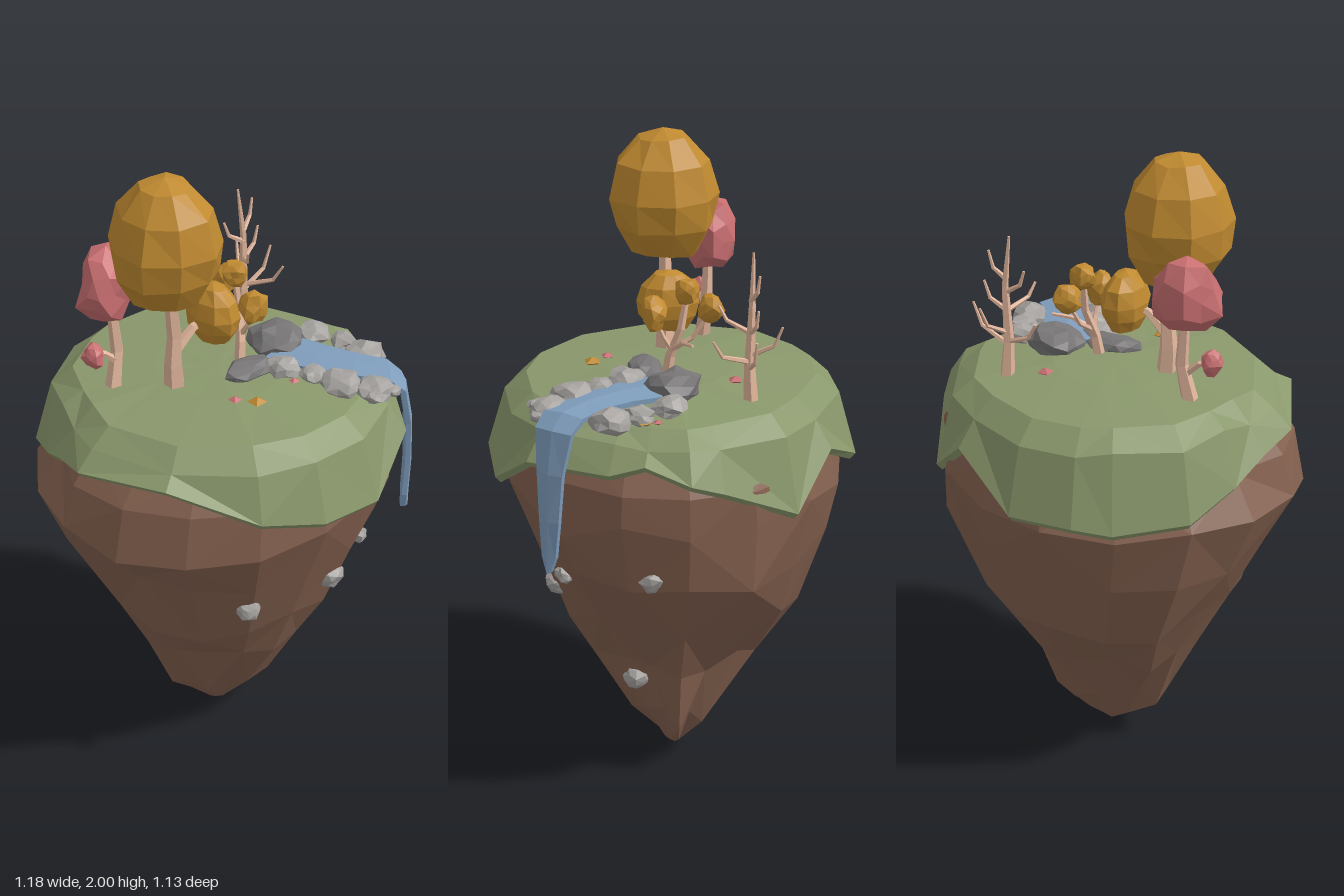
import * as THREE from 'three';

const V = (x, y, z) => new THREE.Vector3(x, y, z);
const mat = (color, side = THREE.FrontSide) => new THREE.MeshStandardMaterial({ color, flatShading: true, side });
const M = {
  earth: mat(0x84614f), grass: mat(0x8a986c), water: mat(0x7f9dbc, THREE.DoubleSide),
  gold: mat(0xc08a30), pink: mat(0xc86e70), wood: mat(0xe2b69c),
  stone: mat(0xa5a29f), slate: mat(0x777575),
};

// Repeatable noise in -1..1
const noise = (a, b, c) => {
  const s = Math.sin(a * 12.99 + b * 78.23 + c * 37.72) * 43758.55;
  return (s - Math.floor(s)) * 2 - 1;
};

function add(parent, name, geo, material) {
  const mesh = new THREE.Mesh(geo, material);
  mesh.name = name;
  parent.add(mesh);
  return mesh;
}

function group(parent, name) {
  const g = new THREE.Group();
  g.name = name;
  parent.add(g);
  return g;
}

// Faceted skin over closed rings of points
function loft(rings) {
  const pts = [], n = rings[0].length;
  for (let i = 0; i < rings.length - 1; i++) {
    for (let j = 0; j < n; j++) {
      const k = (j + 1) % n;
      const a = rings[i][j], b = rings[i][k], c = rings[i + 1][j], d = rings[i + 1][k];
      if ((i + j) % 2) pts.push(a, c, b, b, c, d);
      else pts.push(a, c, d, a, d, b);
    }
  }
  const geo = new THREE.BufferGeometry().setFromPoints(pts);
  geo.computeVertexNormals();
  return geo;
}

// Push vertices in and out, keeping shared corners together
function roughen(geo, amount, seed) {
  const p = geo.attributes.position, v = V(0, 0, 0);
  for (let i = 0; i < p.count; i++) {
    v.fromBufferAttribute(p, i);
    const r = (t) => Math.round(t * 50);
    v.multiplyScalar(1 + amount * noise(r(v.x) + seed, r(v.y), r(v.z)));
    p.setXYZ(i, v.x, v.y, v.z);
  }
  geo.computeVertexNormals();
  return geo;
}

function place(parent, name, geo, [x, y, z], [sx, sy, sz], material, seed) {
  const m = add(parent, name, geo.rotateY(seed * 1.7), material);
  m.position.set(x, y, z);
  m.scale.set(sx, sy, sz);
  return m;
}

function boulder(parent, name, pos, size, material, seed) {
  return place(parent, name, roughen(new THREE.IcosahedronGeometry(1.04, 1), 0.17, seed), pos, size, material, seed);
}

// Egg-shaped foliage, fullest below the middle
function crown(parent, pos, size, material, seed) {
  const profile = [[0, -1], [0.62, -0.95], [0.92, -0.5], [1, -0.05], [0.84, 0.48], [0.45, 0.86], [0, 1]];
  const geo = new THREE.LatheGeometry(profile.map(([r, h]) => new THREE.Vector2(r, h)), 9);
  place(parent, 'crown', roughen(geo, 0.035, seed), pos, size, material, seed);
}

// Tapering limb through a few points
function limb(parent, name, points, r0, r1) {
  const path = points.map((p) => V(...p));
  const rings = path.map((p, i) => {
    const dir = path[Math.min(i + 1, path.length - 1)].clone().sub(path[Math.max(i - 1, 0)]).normalize();
    const q = new THREE.Quaternion().setFromUnitVectors(V(0, 1, 0), dir);
    const r = r0 + (r1 - r0) * i / (path.length - 1);
    // clockwise from above, so the ring order is reversed against the loft
    return [0, 1, 2, 3, 4].map((k) => {
      const a = k * Math.PI * 0.4;
      return V(Math.cos(a) * r, 0, Math.sin(a) * r).applyQuaternion(q).add(p);
    });
  });
  const tip = path[path.length - 1];
  rings.push(rings[0].map(() => tip.clone()));
  add(parent, name, loft(rings), M.wood);
}

// Hanging earth: height, then reach towards +x, -x, +z, -z
function buildEarth(parent) {
  const sections = [
    [0.045, 0.13, 0.05, 0.04, 0.04], [0.17, 0.265, 0.18, 0.15, 0.12],
    [0.38, 0.31, 0.285, 0.28, 0.27], [0.58, 0.425, 0.39, 0.365, 0.43], [0.8, 0.535, 0.5, 0.45, 0.49],
    [0.97, 0.555, 0.59, 0.515, 0.535], [1.1, 0.545, 0.55, 0.5, 0.5], [1.2, 0.48, 0.47, 0.45, 0.45],
  ];
  // hollows either side of the buttress on the left flank
  const hollow = { 1: { 1: 0.82, 2: 0.92, 15: 0.82 }, 2: { 1: 0.8, 2: 0.93, 15: 0.82 }, 3: { 1: 0.93, 15: 0.95 } };
  const n = 16;
  const rings = sections.map(([y, px, nx, pz, nz], i) => Array.from({ length: n }, (_, j) => {
    const a = (j / n) * Math.PI * 2, c = Math.cos(a), s = Math.sin(a);
    const axis = j % 4 === 0;
    let k = 1 + (axis ? 0 : i < 5 ? 0.045 : 0.012) * noise(i, j, 3);
    k *= hollow[i]?.[j] ?? 1;
    // recess under the low turf at the back right
    if (i >= 6 && j >= 9 && j <= 11) k *= 0.92;
    const dy = i > 0 && i < 6 && !axis ? 0.045 * noise(j, i, 9) : 0;
    return V(c * (c > 0 ? px : nx) * k, y + dy, s * (s > 0 ? pz : nz) * k);
  }));
  rings.unshift(rings[0].map(() => V(0.02, 0, 0)));
  add(parent, 'earth', loft(rings), M.earth);
}

// Turf cap with a ragged hanging rim
function buildGrass(parent) {
  const rim = [
    [0.59, 1.16, 0], [0.55, 1.21, 0.13], [0.51, 1.17, 0.23], [0.36, 1.16, 0.46], [0.17, 1.03, 0.55],
    [-0.05, 1.05, 0.565], [-0.24, 1.09, 0.5], [-0.45, 1.2, 0.32], [-0.56, 1.17, 0.04],
    [-0.53, 1.14, -0.1], [-0.49, 1.08, -0.22], [-0.42, 1.02, -0.39], [-0.23, 1.0, -0.52],
    [-0.12, 1.02, -0.565], [0.08, 1.02, -0.57], [0.31, 1.14, -0.45], [0.46, 1.0, -0.33], [0.56, 1.12, -0.1],
  ];
  const ring = (k, fy) => rim.map(([x, y, z], i) => V(x * k, fy(y, i), z * k));
  add(parent, 'grass', loft([
    ring(0.86, (y) => y + 0.02),
    ring(0.97, (y) => y - 0.02),
    ring(1, (y) => y),
    ring(0.9, (y, i) => 1.235 + 0.012 * noise(i, 1, 1)),
    ring(0.78, (y, i) => 1.285 + 0.008 * noise(i, 2, 1)),
    ring(0.35, (y, i) => 1.308 + 0.004 * noise(i, 3, 1)),
    ring(0, () => 1.312),
  ]), M.grass);
}

// Stream and waterfall: centre, half width, heading of the flow
function buildWater(parent) {
  const path = [
    [0.21, 1.318, 0.06, 0.085, 1.5], [0.255, 1.32, 0.17, 0.075, 1.2], [0.315, 1.318, 0.27, 0.065, 0.9],
    [0.38, 1.31, 0.35, 0.067, 0.64], [0.412, 1.275, 0.38, 0.062, 0.64], [0.43, 1.15, 0.395, 0.044, 0.64],
    [0.433, 1.0, 0.4, 0.034, 0.64], [0.425, 0.88, 0.403, 0.024, 0.64], [0.423, 0.83, 0.405, 0.008, 0.64],
  ];
  const c = path.map(([x, y, z]) => V(x, y, z));
  const rings = path.map(([, , , w, a], i) => {
    const side = V(-Math.sin(a), 0, Math.cos(a));
    const dir = c[Math.min(i + 1, c.length - 1)].clone().sub(c[Math.max(i - 1, 0)]).normalize();
    const up = side.clone().cross(dir).normalize();
    return [[-1, -1], [1, -1], [1, 0.3], [0, 1], [-1, 0.3]].map(([u, v]) =>
      c[i].clone().addScaledVector(side, u * w).addScaledVector(up, v * 0.012));
  });
  rings.unshift(rings[0].map(() => c[0]));
  rings.push(rings[rings.length - 1].map(() => c[c.length - 1]));
  add(parent, 'waterfall', loft(rings), M.water);
}

function buildTrees(parent) {
  const big = group(parent, 'tallTree');
  limb(big, 'trunk', [[-0.165, 1.29, 0], [-0.17, 1.38, 0], [-0.165, 1.47, 0], [-0.185, 1.66, 0]], 0.034, 0.018);
  limb(big, 'branch', [[-0.165, 1.42, 0], [-0.1, 1.48, 0.005], [-0.03, 1.5, 0.01]], 0.018, 0.01);
  crown(big, [-0.197, 1.802, 0.003], [0.164, 0.198, 0.172], M.gold, 1);
  crown(big, [-0.025, 1.512, 0.005], [0.07, 0.095, 0.1], M.gold, 2);

  const pink = group(parent, 'pinkTree');
  limb(pink, 'trunk', [[-0.3, 1.28, -0.13], [-0.275, 1.4, -0.14], [-0.29, 1.6, -0.15]], 0.027, 0.014);
  limb(pink, 'branch', [[-0.285, 1.37, -0.135], [-0.33, 1.41, -0.135], [-0.37, 1.42, -0.13]], 0.013, 0.008);
  boulder(pink, 'crown', [-0.295, 1.625, -0.155], [0.105, 0.112, 0.075], M.pink, 4).rotation.y = 0.35;
  boulder(pink, 'smallCrown', [-0.37, 1.42, -0.13], [0.033, 0.038, 0.035], M.pink, 5);

  const small = group(parent, 'smallTree');
  limb(small, 'trunk', [[0.07, 1.29, 0.02], [0.08, 1.37, 0.01], [0.1, 1.46, -0.02], [0.095, 1.57, -0.04]], 0.02, 0.009);
  const forks = [[0.09, 1.5, 0.06], [0.115, 1.52, -0.11], [0.2, 1.44, -0.045]];
  for (const tip of forks) limb(small, 'branch', [[0.085, 1.39, 0.005], [(tip[0] + 0.085) / 2, 1.43, tip[2] / 2], tip], 0.01, 0.005);
  boulder(small, 'crown', [0.095, 1.575, -0.04], [0.038, 0.04, 0.036], M.gold, 6);
  boulder(small, 'crown', [0.09, 1.505, 0.06], [0.046, 0.052, 0.038], M.gold, 7);
  boulder(small, 'crown', [0.112, 1.525, -0.11], [0.042, 0.044, 0.038], M.gold, 8);

  // Bare tree: each branch has a start height and a tip
  const bare = group(parent, 'bareTree');
  limb(bare, 'trunk', [[0.27, 1.28, -0.21], [0.265, 1.4, -0.205], [0.27, 1.58, -0.21], [0.25, 1.74, -0.215]], 0.024, 0.004);
  const branches = [
    [1.39, 0.38, 1.51, -0.21], [1.4, 0.16, 1.48, -0.23], [1.41, 0.33, 1.5, -0.09], [1.43, 0.31, 1.53, -0.295],
    [1.5, 0.215, 1.57, -0.12], [1.5, 0.335, 1.59, -0.22], [1.56, 0.2, 1.64, -0.22], [1.6, 0.315, 1.69, -0.225],
  ];
  for (const [h, x, y, z] of branches) {
    const mid = [0.267 + (x - 0.267) * 0.75, h + (y - h) * 0.4, -0.207 + (z + 0.207) * 0.75];
    limb(bare, 'branch', [[0.267, h, -0.207], mid, [x, y, z]], 0.009, 0.004);
  }
}

function buildStones(parent) {
  const bank = group(parent, 'bankStones');
  boulder(bank, 'slate', [0.22, 1.325, 0.01], [0.085, 0.048, 0.08], M.slate, 11);
  boulder(bank, 'slate', [0.055, 1.315, 0.085], [0.085, 0.032, 0.05], M.slate, 12);
  const stones = [
    [0.135, 0.145, 0.052], [0.35, 0.04, 0.05], [0.395, 0.13, 0.044], [0.41, 0.215, 0.06], [0.18, 0.23, 0.038],
    [0.22, 0.315, 0.063], [0.29, 0.385, 0.055], [0.26, 0.42, 0.028], [0.33, 0.42, 0.026],
  ];
  stones.forEach(([x, z, r], i) => boulder(bank, 'stone', [x, 1.32 - 0.12 * Math.max(0, Math.hypot(x, z) - 0.3), z], [r, r * 0.62, r], M.stone, 20 + i));

  const cliff = group(parent, 'cliffStones');
  const set = [
    [-0.185, 0.69, 0.37, 0.04], [0.15, 0.66, 0.36, 0.045], [0.28, 0.75, 0.35, 0.03],
    [0.185, 0.325, 0.125, 0.042], [0.48, 0.82, 0.105, 0.045],
  ];
  set.forEach(([x, y, z, r], i) => boulder(cliff, 'stone', [x, y, z], [r, r * 0.85, r], M.stone, 40 + i));
}

// Fallen leaves on the turf
function buildLeaves(parent) {
  const leaves = group(parent, 'fallenLeaves');
  const set = [
    [0.155, -0.18, 0.026, M.pink], [-0.087, 0.188, 0.022, M.pink], [-0.043, 0.237, 0.03, M.gold],
    [0.12, 0.215, 0.018, M.pink], [0.423, 0.08, 0.016, M.pink], [0.42, 0.12, 0.026, M.gold],
  ];
  set.forEach(([x, z, r, m], i) => {
    const leaf = add(leaves, 'leaf', new THREE.OctahedronGeometry(r), m);
    leaf.position.set(x, x > 0.4 ? 1.295 : 1.31, z);
    leaf.scale.y = 0.5;
    leaf.rotation.y = Math.PI / 4 + 0.2 * noise(i, 5, 2);
  });
}

export function createModel() {
  const island = new THREE.Group();
  island.name = 'floatingIsland';
  for (const build of [buildEarth, buildGrass, buildWater, buildTrees, buildStones, buildLeaves]) build(island);
  return island;
}
